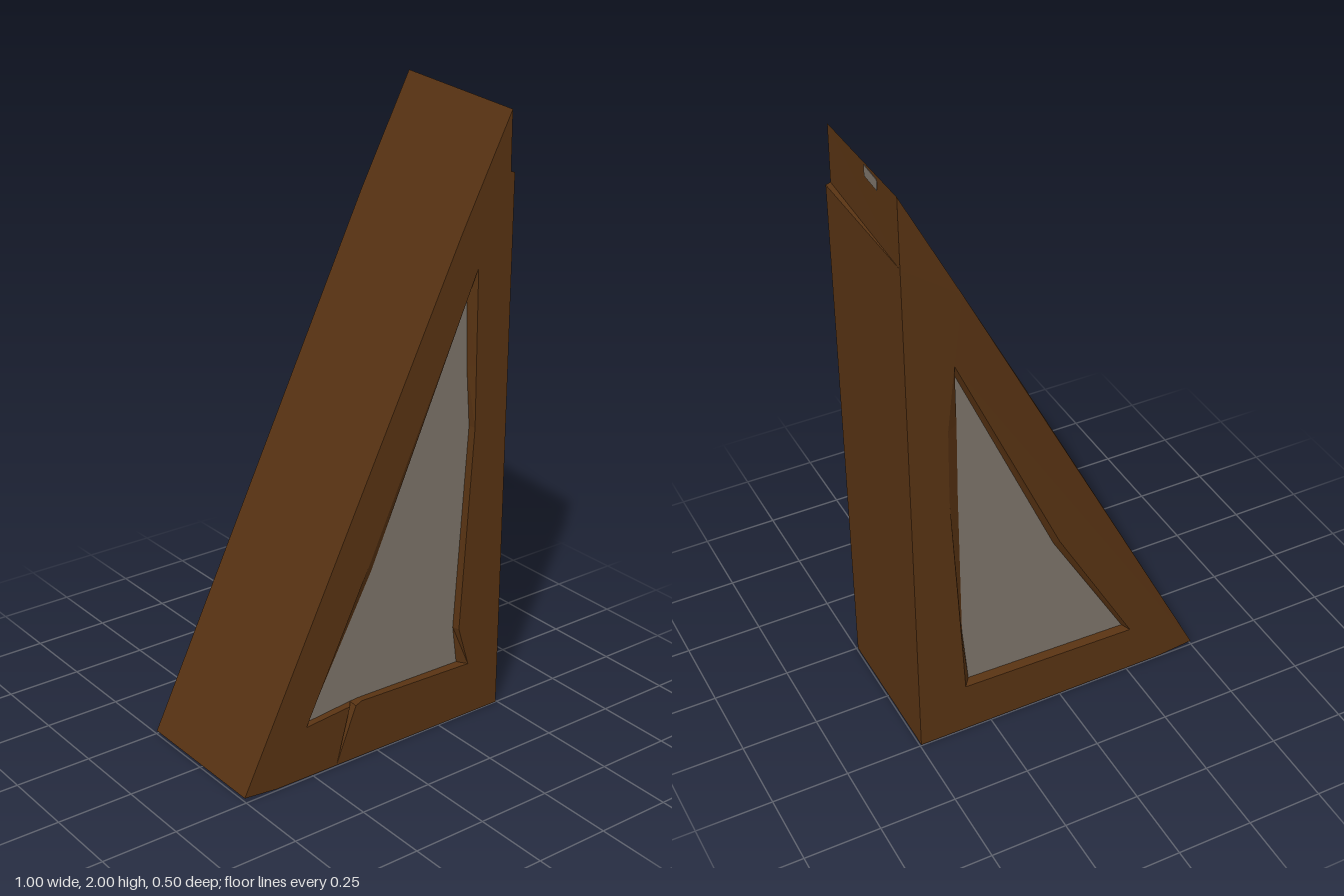
import * as THREE from 'three';

const wood = new THREE.MeshStandardMaterial({ color: 0x573212 });
wood.name = 'dark wood';
const stone = new THREE.MeshStandardMaterial({ color: 0x7b7268 });
stone.name = 'grey stone';

// Slightly uneven front and back faces; the back swells at one spot on the slope
const frontZ = (x) => 0.246 + 0.007 * x;
const backZ = (x, y) => (Math.hypot(x - 0.32, y - 1.65) < 0.03 ? -0.255 : -0.247);
const recess = 0.225;

const lift = (points, rule) => points.map(([x, y]) => [x, y, rule(x, y)]);
const vectors = (points) => points.map(([x, y]) => new THREE.Vector2(x, y));

// Closed band of flat quads between two loops with equal point counts
function strip(a, b) {
  const pos = [];
  a.forEach((p, i) => {
    const j = (i + 1) % a.length;
    pos.push(...p, ...b[i], ...a[j], ...a[j], ...b[i], ...b[j]);
  });
  const g = new THREE.BufferGeometry();
  g.setAttribute('position', new THREE.Float32BufferAttribute(pos, 3));
  g.computeVertexNormals();
  return g;
}

// Flat face with an optional hole, placed in z by a rule, facing front or back
function face(outline, hole, rule, back = false) {
  const shape = new THREE.Shape(vectors(outline));
  if (hole) shape.holes.push(new THREE.Path(vectors(hole)));
  let g = new THREE.ShapeGeometry(shape);
  const p = g.attributes.position;
  for (let i = 0; i < p.count; i++) p.setZ(i, rule(p.getX(i), p.getY(i)));
  if (back) g.index.array.reverse();
  g = g.toNonIndexed();
  g.computeVertexNormals();
  return g;
}

export function createModel() {
  const model = new THREE.Group();
  model.name = 'woodenWedge';
  const add = (name, geometry, material) => {
    const mesh = new THREE.Mesh(geometry, material);
    mesh.name = name;
    model.add(mesh);
    return mesh;
  };

  // Outer triangle, counterclockwise, with the apex chipped at the front
  const slope = [[0.3, 1.63], [0.13, 1.285]];
  const front = [[-0.5, 0.012], [-0.38, 0], [0.495, 0], [0.495, 1.78],
    [0.48, 1.785], [0.478, 1.97], ...slope];
  const back = [[-0.5, 0.012], [-0.38, 0], [0.495, 0], [0.495, 1.78],
    [0.495, 1.785], [0.495, 2], [0.32, 1.655], [0.13, 1.28]];
  add('outerBoards', strip(lift(front, frontZ), lift(back, backZ)), wood);

  // Front opening, clockwise; the last points run down the split in the lower board
  const frontHole = [[-0.27, 0.175], [-0.03, 0.66], [0.365, 1.51], [0.368, 1.2],
    [0.37, 1.0], [0.328, 0.32], [0.37, 0.183], [-0.06, 0.195],
    [-0.082, 0.185], [-0.155, 0.004], [-0.105, 0.19]];
  const frontInner = [[-0.25, 0.18], [-0.01, 0.62], [0.342, 1.42], [0.35, 1.2],
    [0.366, 1.0], [0.322, 0.32], [0.34, 0.19], [-0.06, 0.197],
    [-0.09, 0.195], [-0.155, 0.005], [-0.09, 0.195]];
  add('frontFrame', face(front, frontHole, frontZ), wood);
  add('frontOpeningEdge', strip(lift(frontHole, frontZ), lift(frontInner, () => recess)), wood);
  add('frontPanel', face(frontInner.slice(0, 9), null, () => recess), stone);

  // Back opening, counterclockwise
  const backHole = [[-0.26, 0.168], [0.335, 0.182], [0.345, 0.4], [0.372, 0.95],
    [0.37, 1.2], [0.345, 1.42], [0.005, 0.65]];
  const backInner = [[-0.24, 0.18], [0.315, 0.195], [0.333, 0.4], [0.335, 0.95],
    [0.333, 1.2], [0.335, 1.37], [0.015, 0.63]];
  add('backFrame', face(back, backHole, backZ, true), wood);
  add('backOpeningEdge', strip(lift(backHole, backZ), lift(backInner, () => -recess)), wood);
  add('backPanel', face(backInner, null, () => -recess, true), stone);

  // Bit of stone showing through near the apex
  const patch = add('apexStonePatch', new THREE.BoxGeometry(0.004, 0.034, 0.09), stone);
  patch.position.set(0.488, 1.962, -0.065);
  patch.rotation.y = -0.034;
  return model;
}
